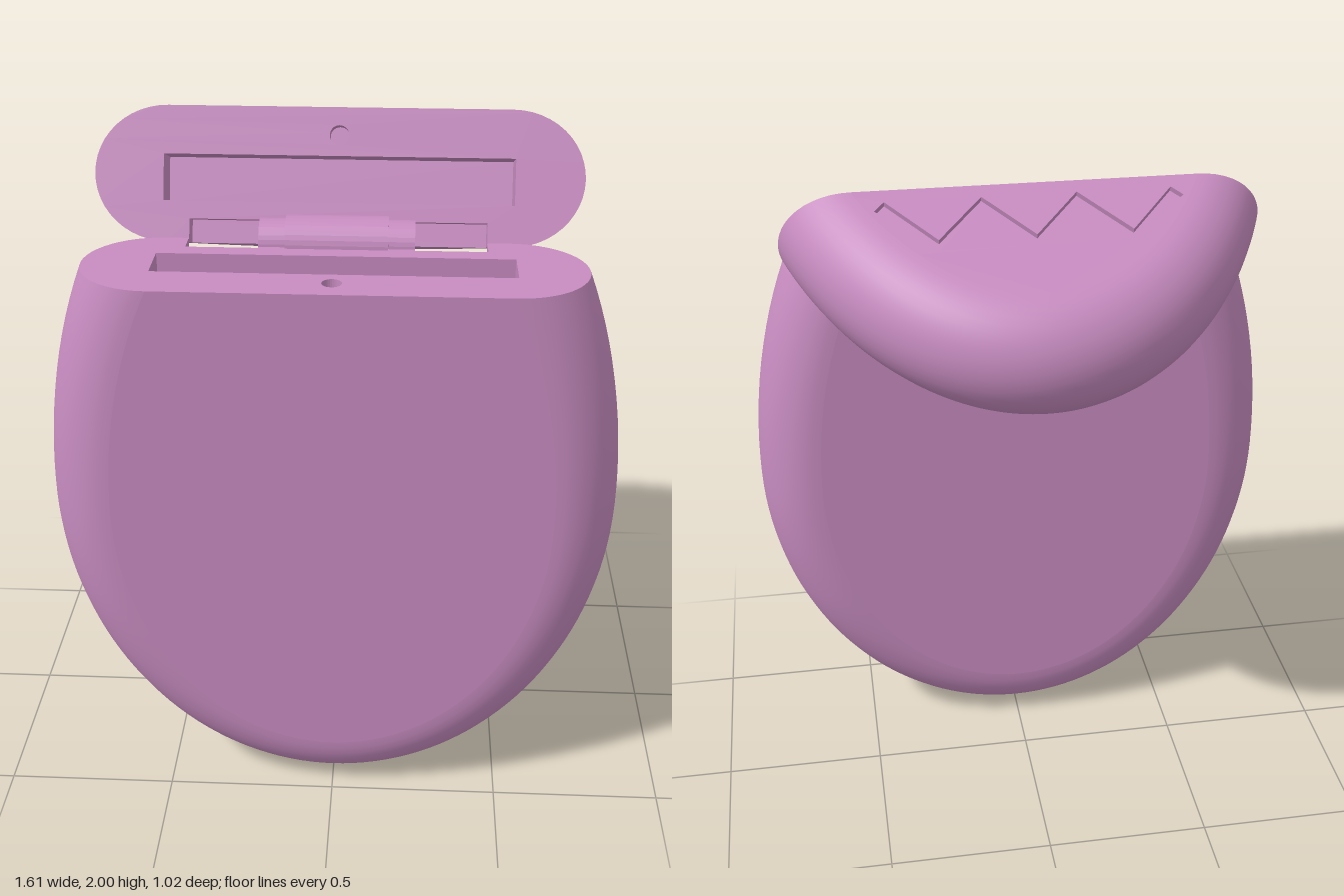
import * as THREE from 'three';
import { mergeGeometries } from 'three/addons/utils/BufferGeometryUtils.js';

const A = 0.805, YC = 0.98, LOW = 0.98, HIGH = 1.284; // egg half width, widest height, semi-axes
const R = 0.188, ZC = 0.321, ZB = ZC - R;             // rounded rim, centre plane, back plane
const CUT = 1.667;                                    // height of the split between body and lid
const NW = 0.415, NK = 0.065;                         // hinge notch half width and depth
const N = 96, M = 24;

const mat = new THREE.MeshStandardMaterial({ color: 0xc78cc0, side: THREE.DoubleSide });
const v2 = (x, y) => new THREE.Vector2(x, y);

// Egg outline point at angle t (0 = bottom), moved inwards by d
function eggPoint(t, d) {
  const b = Math.cos(t) > 0 ? LOW : HIGH;
  const n = v2(Math.sin(t) / A, -Math.cos(t) / b).normalize();
  return v2(A * Math.sin(t) - n.x * d, YC - b * Math.cos(t) - n.y * d);
}

// Inset outline of the half below or above the split, counter-clockwise
function halfCurve(d, isLid) {
  let lo = Math.PI / 2, hi = Math.PI;
  for (let i = 0; i < 40; i++) {
    const mid = (lo + hi) / 2;
    if (eggPoint(mid, d).y < CUT) lo = mid; else hi = mid;
  }
  const from = isLid ? lo : -lo, to = isLid ? 2 * Math.PI - lo : lo;
  return Array.from({ length: N + 1 }, (_, j) => eggPoint(from + (to - from) * j / N, d));
}

const section = (i) => {
  const f = -Math.PI / 2 + Math.PI * i / M;
  return { d: R * (1 - Math.cos(f)), z: ZC + R * Math.sin(f) };
};

// Rounded rim swept through the inset outlines
function rim(isLid) {
  const pos = [], idx = [];
  for (let i = 0; i <= M; i++) {
    const { d, z } = section(i);
    halfCurve(d, isLid).forEach((p) => pos.push(p.x, p.y, z));
  }
  for (let i = 0; i < M; i++) for (let j = 0; j < N; j++) {
    const a = i * (N + 1) + j, c = a + N + 1;
    idx.push(a, a + 1, c, a + 1, c + 1, c);
  }
  const g = new THREE.BufferGeometry();
  g.setAttribute('position', new THREE.Float32BufferAttribute(pos, 3));
  g.setIndex(idx);
  g.computeVertexNormals();
  return g.toNonIndexed();
}

function flat(pts, holes = []) {
  const s = new THREE.Shape(pts);
  s.holes = holes.map((h) => new THREE.Path(h));
  const g = new THREE.ShapeGeometry(s).toNonIndexed();
  g.deleteAttribute('uv');
  return g;
}

// Side walls and floor of a pocket sunk along local z
function recess(pts, depth, closed = true) {
  const pos = [];
  const count = closed ? pts.length : pts.length - 1;
  for (let i = 0; i < count; i++) {
    const a = pts[i], b = pts[(i + 1) % pts.length];
    pos.push(a.x, a.y, 0, b.x, b.y, 0, b.x, b.y, depth, a.x, a.y, 0, b.x, b.y, depth, a.x, a.y, depth);
  }
  const walls = new THREE.BufferGeometry();
  walls.setAttribute('position', new THREE.Float32BufferAttribute(pos, 3));
  walls.computeVertexNormals();
  return [walls, flat(pts).translate(0, 0, depth)];
}

const rect = (w, z0, z1) => [v2(-w, z0), v2(w, z0), v2(w, z1), v2(-w, z1)];
const circle = (x, y, r) => Array.from({ length: 28 }, (_, i) =>
  v2(x + r * Math.cos(i * Math.PI / 14), y + r * Math.sin(i * Math.PI / 14)));

// Zigzag band: mitred corners, square ends
function zigzag() {
  const w = 0.012, th = 0.863, low = CUT + 0.063, high = CUT + 0.215;
  const top = [], bottom = [];
  const add = (x, y, ox, oy) => { top.push(v2(x + ox, y + oy)); bottom.unshift(v2(x - ox, y - oy)); };
  const ex = w * Math.sin(th), ey = w * Math.cos(th);
  add(-0.41, low + 0.023, ex, ey);
  for (let i = 0; i <= 6; i++) add(-0.39 + 0.13 * i, i % 2 ? high : low, 0, w / Math.cos(th));
  add(0.41, low + 0.023, -ex, ey);
  return [...top, ...bottom];
}

// One half of the case: rim, front, notched back and split face with pockets
function half(isLid, slotDepth) {
  const s = isLid ? 1 : -1;
  const face = halfCurve(R, isLid);
  const grooves = isLid ? [zigzag()] : [];
  const front = [flat(face, grooves), ...grooves.flatMap((g) => recess(g, -0.015))];
  const back = flat([...face, v2(-s * NW, CUT), v2(-s * NW, CUT + s * NK), v2(s * NW, CUT + s * NK), v2(s * NW, CUT)]);

  const right = [];
  for (let i = 0; i <= M; i++) {
    const { d, z } = section(i);
    right.push(v2(Math.abs(halfCurve(d, isLid)[0].x), z));
  }
  const left = right.map((p) => v2(-p.x, p.y)).reverse();
  const notch = [v2(-NW, ZB), v2(-NW, ZB + NK), v2(NW, ZB + NK), v2(NW, ZB)];
  const slot = rect(0.488, 0.248, 0.376), magnet = circle(0, 0.433, 0.027);
  const split = [
    flat([...right, ...left, ...notch], [slot, magnet]),
    ...recess(slot, -s * slotDepth),
    ...recess(magnet, -s * 0.05),
    ...recess(notch, -s * NK, false),
  ];
  split.forEach((g) => g.rotateX(Math.PI / 2).translate(0, CUT, 0));
  front.forEach((g) => g.translate(0, 0, ZC + R));
  return mergeGeometries([rim(isLid), ...front, back.translate(0, 0, ZB), ...split]);
}

function addMesh(parent, name, geometry) {
  const m = new THREE.Mesh(geometry, mat);
  m.name = name;
  parent.add(m);
  return m;
}

export function createModel() {
  const model = new THREE.Group();
  model.name = 'hingedEggCase';
  addMesh(model, 'body', half(false, 1.1));

  // Lid swung open about the back edge
  const lid = new THREE.Group();
  lid.name = 'lid';
  lid.position.set(0, 1.653, 0.128);
  lid.rotation.x = THREE.MathUtils.degToRad(-113.2);
  addMesh(lid, 'lidShell', half(true, 0.11).translate(0, -CUT, -ZB));
  addMesh(lid, 'lidHingeLeaf', new THREE.BoxGeometry(0.28, NK, NK).translate(0, NK / 2, NK / 2));
  model.add(lid);

  // Hinge barrel: wide middle knuckle, narrower ends with pin holes
  const side = [[0, 0.18], [0.03, 0.18], [0.03, 0.215], [0.063, 0.215], [0.063, 0.142], [0.073, 0.142]];
  const profile = [...side, ...side.map(([r, y]) => [r, -y]).reverse()];
  // Doubled points keep the steps crisp
  const barrel = new THREE.LatheGeometry(profile.flatMap(([r, y]) => [v2(r, y), v2(r, y)]), 32).toNonIndexed();
  barrel.computeVertexNormals();
  addMesh(model, 'hingeBarrel', barrel.rotateZ(Math.PI / 2).translate(0, 1.662, 0.128));

  for (const s of [-1, 1]) {
    addMesh(model, 'bodyHingeLeaf', new THREE.BoxGeometry(0.073, NK, NK))
      .position.set(s * 0.1785, CUT - NK / 2, ZB + NK / 2);
    // Small round plugs under the body
    const t = s * Math.asin(0.15 / A), p = eggPoint(t, 0.014);
    const plug = addMesh(model, 'bottomPlug', new THREE.CylinderGeometry(0.028, 0.028, 0.03, 24));
    plug.position.set(p.x, p.y, ZC);
    plug.rotation.z = t;
  }
  return model;
}
